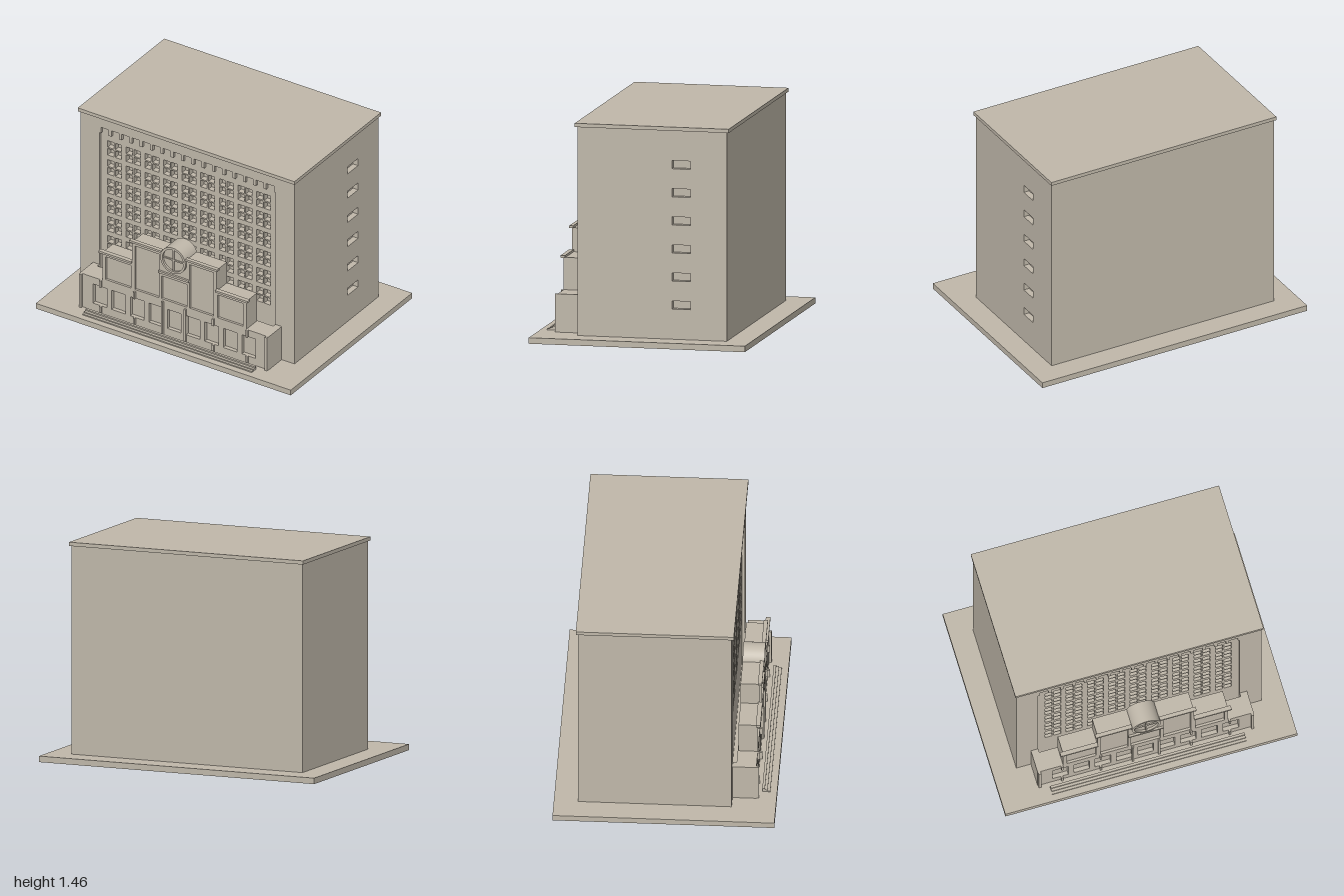
import * as THREE from 'three';

export function createModel() {
  const model = new THREE.Group();
  const stone = new THREE.MeshStandardMaterial({ color: 0xc0b8aa });
  stone.name = 'stone';

  const add = (name, geometry, parent = model) => {
    const mesh = new THREE.Mesh(geometry, stone);
    mesh.name = name;
    parent.add(mesh);
    return mesh;
  };
  const group = (name) => {
    const g = new THREE.Group();
    g.name = name;
    model.add(g);
    return g;
  };
  // Box given by its limits on each axis
  const box = (name, x0, x1, y0, y1, z0, z1, parent) => {
    const g = new THREE.BoxGeometry(x1 - x0, y1 - y0, z1 - z0);
    g.translate((x0 + x1) / 2, (y0 + y1) / 2, (z0 + z1) / 2);
    return add(name, g, parent);
  };
  const rect = (x0, x1, y0, y1) =>
    [[x0, y0], [x1, y0], [x1, y1], [x0, y1]].map(([x, y]) => new THREE.Vector2(x, y));
  // Plate with openings, extruded from z0 to z1
  const plate = (outline, holes, z0, z1) => {
    const shape = new THREE.Shape(outline);
    shape.holes = holes.map((h) => new THREE.Path(h));
    const g = new THREE.ExtrudeGeometry(shape, { depth: z1 - z0, bevelEnabled: false });
    g.translate(0, 0, z0);
    return g;
  };

  // Ground slab, building core and roof
  box('groundSlab', -1, 1, 0, 0.04, -0.73, 0.73);
  box('buildingCore', -0.84, 0.8, 0.04, 1.43, -0.57, 0.38);
  box('roofSlab', -0.85, 0.85, 1.43, 1.455, -0.585, 0.455);

  // Side wall with one column of small windows
  const sideHoles = [];
  for (let i = 0; i < 6; i++) {
    const y = 0.268 + i * 0.187;
    sideHoles.push(rect(0.2, 0.325, y - 0.027, y + 0.027));
  }
  const side = plate(rect(-0.38, 0.57, 0.04, 1.43), sideHoles, 0.8, 0.84);
  side.rotateY(Math.PI / 2);
  add('sideWall', side);

  // Window wall: grid of four-pane windows
  const pitch = 0.146;
  const panes = [];
  for (let row = 0; row < 6; row++) {
    for (let col = -4; col <= 4; col++) {
      for (const sx of [-1, 1]) {
        for (const sy of [-1, 1]) {
          const x = col * pitch + sx * 0.03;
          const y = 0.47 + row * pitch + sy * 0.03;
          panes.push(rect(x - 0.025, x + 0.025, y - 0.025, y + 0.025));
        }
      }
    }
  }
  add('windowWall', plate(rect(-0.84, 0.84, 0.04, 1.43), panes, 0.38, 0.42));

  // Front surround with a toothed upper edge
  const surround = [[-0.84, 0.04], [-0.69, 0.04], [-0.69, 1.31]];
  for (let i = 0; i < 17; i++) {
    const x = (i - 8) * 0.081;
    surround.push([x - 0.03, 1.31], [x - 0.03, 1.355], [x + 0.03, 1.355], [x + 0.03, 1.31]);
  }
  surround.push([0.69, 1.31], [0.69, 0.04], [0.84, 0.04], [0.84, 1.43], [-0.84, 1.43]);
  add('frontSurround', plate(surround.map(([x, y]) => new THREE.Vector2(x, y)), [], 0.42, 0.44));

  // Entrance: ground storey with nine openings
  const entrance = group('entrance');
  box('groundStorey', -0.74, 0.74, 0.04, 0.295, 0.465, 0.57, entrance);
  const doors = [];
  for (let i = -4; i <= 4; i++) {
    doors.push(rect(i * pitch - 0.054, i * pitch + 0.054, 0.095, 0.242));
  }
  add('groundStoreyFront', plate(rect(-0.74, 0.74, 0.04, 0.295), doors, 0.57, 0.597), entrance);
  for (const s of [-1, 1]) {
    const m = (name, a, b, ...rest) => box(name, Math.min(s * a, s * b), Math.max(s * a, s * b), ...rest, entrance);
    // Link to the wall, and thin vertical fins
    m('wallLink', 0.69, 0.74, 0.04, 0.295, 0.44, 0.465);
    m('endFin', 0.72, 0.737, 0.04, 0.295, 0.597, 0.615);
    m('innerFin', 0.083, 0.096, 0.04, 0.295, 0.597, 0.612);
    for (const x of [0.302, 0.567]) {
      m('lowerFin', x, x + 0.014, 0.04, 0.095, 0.597, 0.612);
      m('upperFin', x, x + 0.014, 0.242, 0.295, 0.597, 0.612);
    }
    // Cornices over the stepped front
    m('lowCornice', 0.33, 0.585, 0.51, 0.525, 0.585, 0.615);
    m('highCornice', 0.095, 0.345, 0.67, 0.685, 0.585, 0.612);
  }
  box('centreCornice', -0.12, 0.12, 0.51, 0.525, 0.585, 0.612, entrance);

  // Stepped upper front with sunk panels
  box('wideTier', -0.565, 0.565, 0.295, 0.51, 0.47, 0.582, entrance);
  box('tallTier', -0.33, 0.33, 0.51, 0.67, 0.47, 0.582, entrance);
  const stepped = [[-0.565, 0.295], [0.565, 0.295], [0.565, 0.51], [0.33, 0.51], [0.33, 0.67],
    [-0.33, 0.67], [-0.33, 0.51], [-0.565, 0.51]].map(([x, y]) => new THREE.Vector2(x, y));
  const sunk = [rect(-0.1, 0.1, 0.31, 0.485)];
  for (const s of [-1, 1]) {
    sunk.push(rect(s * 0.44 - 0.1, s * 0.44 + 0.1, 0.31, 0.485));
    sunk.push(rect(s * 0.215 - 0.094, s * 0.215 + 0.094, 0.31, 0.645));
  }
  add('steppedFront', plate(stepped, sunk, 0.582, 0.598), entrance);

  // Round window: drum, rim and cross bars
  const round = group('roundWindow');
  round.position.y = 0.643;
  const drum = new THREE.CylinderGeometry(0.098, 0.098, 0.13, 48);
  drum.rotateX(Math.PI / 2);
  drum.translate(0, 0, 0.535);
  add('drum', drum, round);
  const circle = (r) => new THREE.Path().absarc(0, 0, r, 0, Math.PI * 2).getPoints(48).slice(0, -1);
  add('rim', plate(circle(0.098), [circle(0.082)], 0.59, 0.615), round);
  box('uprightBar', -0.005, 0.005, -0.084, 0.084, 0.59, 0.609, round);
  box('crossBar', -0.084, 0.084, -0.005, 0.005, 0.59, 0.608, round);

  // Front steps
  const steps = group('steps');
  [0.048, 0.056, 0.066].forEach((top, i) => {
    box('step', -0.665, 0.665, 0.04, top, 0.632, 0.685 - i * 0.018, steps);
  });
  return model;
}
